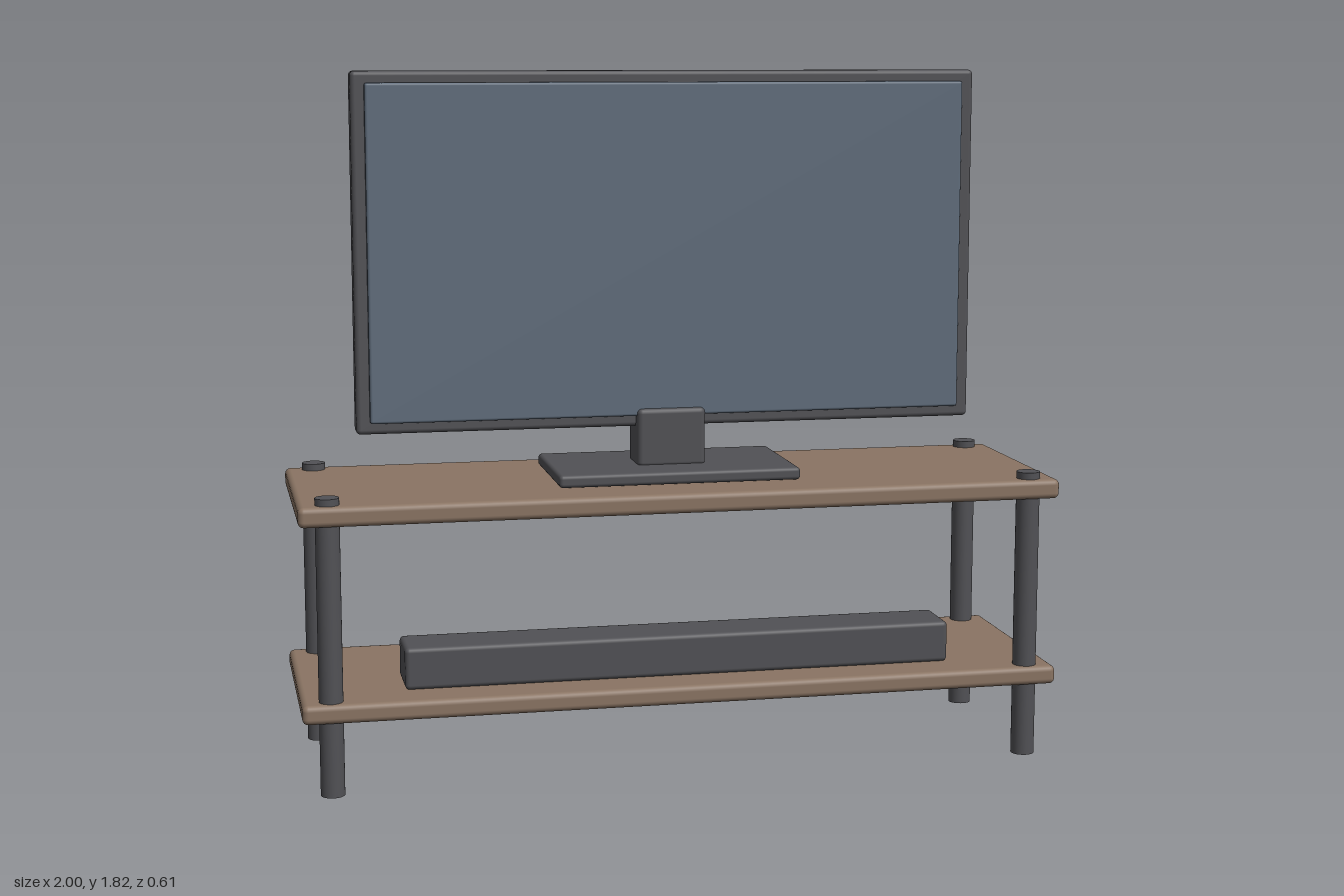
import * as THREE from 'three';
import { RoundedBoxGeometry } from 'three/addons/geometries/RoundedBoxGeometry.js';

const material = (name, color) => {
  const m = new THREE.MeshStandardMaterial({ color });
  m.name = name;
  return m;
};

export function createModel() {
  const model = new THREE.Group();
  model.name = 'televisionStand';

  const wood = material('brown wood', 0x8a7463);
  const dark = material('charcoal plastic', 0x515155);
  const glass = material('blue grey screen', 0x5f6c7b);

  // Rounded box given by its extents along each axis
  const box = (name, mat, [x0, x1], [y0, y1], [z0, z1], radius) => {
    const geometry = new RoundedBoxGeometry(x1 - x0, y1 - y0, z1 - z0, 3, radius);
    const mesh = new THREE.Mesh(geometry, mat);
    mesh.name = name;
    mesh.position.set((x0 + x1) / 2, (y0 + y1) / 2, (z0 + z1) / 2);
    model.add(mesh);
  };

  // Shelves
  box('lowerShelf', wood, [-1, 1], [0.195, 0.245], [-0.306, 0.306], 0.015);
  box('upperShelf', wood, [-1, 1], [0.7, 0.752], [-0.306, 0.306], 0.015);

  // Four round legs that pass through both shelves
  const legGeometry = new THREE.CylinderGeometry(0.031, 0.031, 0.77, 32);
  for (const x of [-0.925, 0.925]) {
    for (const z of [-0.263, 0.263]) {
      const leg = new THREE.Mesh(legGeometry, dark);
      leg.name = `${z > 0 ? 'front' : 'back'}${x > 0 ? 'Left' : 'Right'}Leg`;
      leg.position.set(x, 0.385, z);
      model.add(leg);
    }
  }

  // Speaker bar on the lower shelf
  box('soundbar', dark, [-0.73, 0.73], [0.245, 0.355], [0.047, 0.2], 0.012);

  // Television: foot, neck, casing and screen
  box('televisionFoot', dark, [-0.322, 0.322], [0.755, 0.788], [-0.183, 0.183], 0.01);
  box('televisionNeck', dark, [-0.092, 0.092], [0.78, 0.938], [-0.062, 0.062], 0.014);
  box('televisionCasing', dark, [-0.83, 0.83], [0.888, 1.824], [-0.033, 0.033], 0.012);
  box('televisionScreen', glass, [-0.795, 0.795], [0.918, 1.794], [0.02, 0.052], 0.007);

  return model;
}
